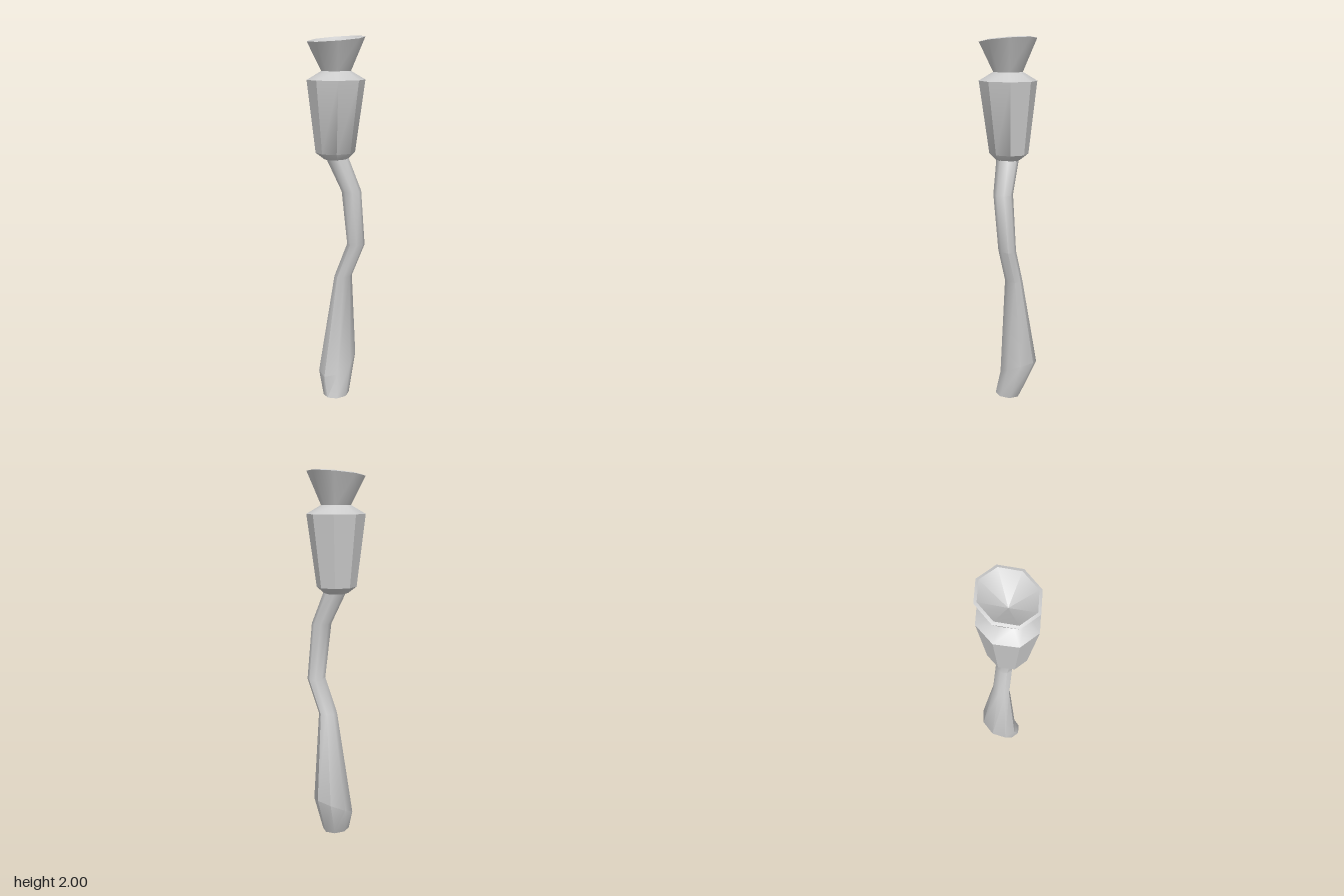
import * as THREE from 'three';
import { toCreasedNormals } from 'three/addons/utils/BufferGeometryUtils.js';

const SIDES = 8;
const PHASE = -0.12;

// Skin over eight-sided rings: [y, centreX, centreZ, radiusX, radiusZ, slope of y along z]
function loft(name, rings, crease) {
  const pos = [], index = [];
  for (const [y, cx, cz, rx, rz, slope = 0] of rings) {
    for (let k = 0; k < SIDES; k++) {
      const a = PHASE + (k / SIDES) * Math.PI * 2;
      const dz = Math.sin(a) * rz;
      pos.push(cx + Math.cos(a) * rx, y + dz * slope, cz + dz);
    }
  }
  for (let j = 0; j < rings.length - 1; j++) {
    for (let k = 0; k < SIDES; k++) {
      const a = j * SIDES + k, b = j * SIDES + (k + 1) % SIDES;
      const c = a + SIDES, d = b + SIDES;
      // Rings of zero radius close the skin with a fan
      if (rings[j][3] > 0) index.push(a, c, b);
      if (rings[j + 1][3] > 0) index.push(b, c, d);
    }
  }
  const geo = new THREE.BufferGeometry();
  geo.setAttribute('position', new THREE.Float32BufferAttribute(pos, 3));
  geo.setIndex(index);
  const mesh = new THREE.Mesh(
    toCreasedNormals(geo, crease),
    new THREE.MeshStandardMaterial({ color: 0xcccccc, side: THREE.DoubleSide })
  );
  mesh.name = name;
  return mesh;
}

export function createModel() {
  const group = new THREE.Group();
  group.name = 'podPlant';

  // Crooked stem with a swollen foot leaning to the back
  group.add(loft('stem', [
    [0, 0, 0, 0, 0],
    [0, 0, 0, 0.067, 0.077],
    [0.17, -0.038, -0.046, 0.093, 0.115, -0.5],
    [0.7, 0.003, -0.052, 0.044, 0.053],
    [0.89, 0.073, -0.08, 0.045, 0.051, 0.1],
    [1.19, 0.071, -0.045, 0.05, 0.055],
    [1.38, 0, 0, 0.06, 0.062],
  ], 0.9));

  // Seed pod, widening upward and bevelled at both ends
  group.add(loft('pod', [
    [1.36, 0, 0, 0, 0],
    [1.36, 0, 0, 0.062, 0.065],
    [1.395, -0.006, 0, 0.1, 0.11],
    [1.775, 0, 0, 0.147, 0.16],
    [1.82, 0, 0, 0.075, 0.08],
  ], 0.7));

  // Flared cup with a slightly dipped front lip and a hollow cone inside
  group.add(loft('cup', [
    [1.815, 0, 0, 0.073, 0.078],
    [1.98, 0, 0, 0.145, 0.157, -0.1],
    [1.985, 0, 0, 0.13, 0.143, -0.1],
    [1.87, 0, 0, 0, 0],
  ], 0.9));

  return group;
}
